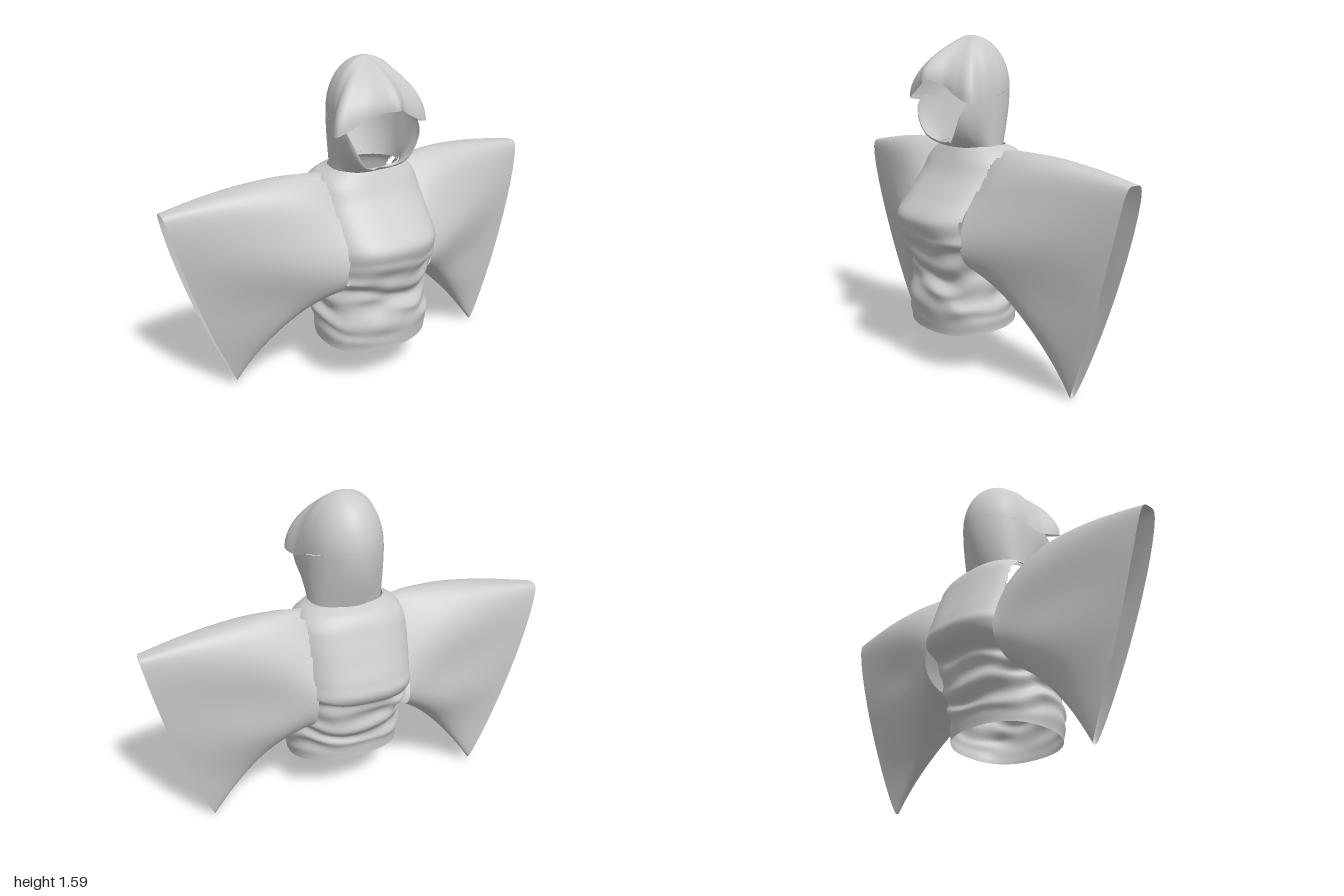
import * as THREE from 'three';

const material = new THREE.MeshStandardMaterial({ color: 0xcccccc, side: THREE.DoubleSide });
const { lerp, smoothstep } = THREE.MathUtils;

// Cloth tube: rows of closed loops, point(u, a) with u in 0..1 and a in 0..2PI;
// faces whose first corner lies in isHole are left out
function clothTube(name, rows, cols, point, isHole = () => false) {
  const pos = [], index = [];
  for (let i = 0; i <= rows; i++) {
    for (let j = 0; j < cols; j++) pos.push(...point(i / rows, (j / cols) * Math.PI * 2));
  }
  for (let i = 0; i < rows; i++) {
    for (let j = 0; j < cols; j++) {
      const k = (j + 1) % cols;
      const a = i * cols + j, b = i * cols + k, c = a + cols, d = b + cols;
      if (!isHole(pos[3 * a], pos[3 * a + 1])) index.push(a, b, d, a, d, c);
    }
  }
  const geometry = new THREE.BufferGeometry();
  geometry.setAttribute('position', new THREE.Float32BufferAttribute(pos, 3));
  geometry.setIndex(index);
  geometry.computeVertexNormals();
  const mesh = new THREE.Mesh(geometry, material);
  mesh.name = name;
  return mesh;
}

// Smooth lookup in a small table whose first column is the key
function sample(table, key) {
  let i = 0;
  while (i < table.length - 2 && key > table[i + 1][0]) i++;
  const p = table[i], q = table[i + 1];
  const t = THREE.MathUtils.clamp((key - p[0]) / (q[0] - p[0]), 0, 1);
  return p.map((v, n) => {
    const slope = (k) => {
      const lo = table[Math.max(k - 1, 0)], hi = table[Math.min(k + 1, table.length - 1)];
      return k === 0 || k === table.length - 1 ? 0 : (hi[n] - lo[n]) / (hi[0] - lo[0]);
    };
    const h = q[0] - p[0], t2 = t * t, t3 = t2 * t;
    return v * (2 * t3 - 3 * t2 + 1) + q[n] * (3 * t2 - 2 * t3)
      + h * (slope(i) * (t3 - 2 * t2 + t) + slope(i + 1) * (t3 - t2));
  });
}

// Torso: height, half width, front z, back z
const torsoRows = [
  [0.23, 0.285, 0.26, -0.17], [0.30, 0.295, 0.27, -0.175], [0.40, 0.29, 0.275, -0.19],
  [0.46, 0.285, 0.25, -0.215], [0.54, 0.305, 0.27, -0.225], [0.61, 0.305, 0.305, -0.25],
  [0.69, 0.30, 0.33, -0.335], [0.76, 0.295, 0.34, -0.325], [0.85, 0.29, 0.265, -0.29],
  [0.95, 0.28, 0.18, -0.25], [1.03, 0.26, 0.135, -0.215], [1.07, 0.22, 0.115, -0.18],
  [1.09, 0.18, 0.105, -0.14],
];

function torsoPoint(u, a) {
  const y = lerp(0.23, 1.09, u);
  const [, w, front, back] = sample(torsoRows, y);
  const c = Math.cos(a), s = Math.sin(a);
  // gathered folds round the waist
  const amount = smoothstep(y, 0.25, 0.36) * (1 - smoothstep(y, 0.6, 0.72));
  const wave = Math.sin(y * 58 + 1.6 * Math.sin(2 * a + 0.7) + 0.8 * Math.sin(5 * a))
    + 0.6 * Math.sin(y * 37 - 2 * Math.sin(3 * a + 1) + 2);
  const k = 1 + amount * 0.03 * wave;
  // squarer chest between the sleeves, rounder waist and neck
  const square = lerp(0.86, 0.72, smoothstep(y, 0.55, 0.72) * (1 - smoothstep(y, 1.0, 1.09)));
  const round = (v) => Math.sign(v) * Math.pow(Math.abs(v), square);
  const mid = (front + back) / 2, half = (front - back) / 2;
  const tilt = -0.03 * c * (1 - smoothstep(y, 0.23, 0.5));
  return [w * k * round(s), y + tilt + amount * 0.012 * Math.sin(3 * a + y * 20), mid + half * k * round(c)];
}

// Open armholes where the sleeves join
const isArmhole = (x, y) => Math.abs(x) > 0.245 && y > 0.58 && y < 1.04;

const bezier = (p, q, r, t) =>
  [0, 1].map((n) => (1 - t) ** 2 * p[n] + 2 * t * (1 - t) * q[n] + t * t * r[n]);

// Hanging sleeve: flat loops running from the armhole to the long cuff
function sleeve(name, side, tip, tipZ, backSwell) {
  return clothTube(name, 40, 72, (s, a) => {
    const top = bezier([0.2, 1.065], [0.45, 1.11], [1.0, 1.005], s);
    const low = bezier([0.25, 0.49], [0.47, 0.36], tip, s);
    const v0 = (1 - Math.cos(a)) / 2;
    const v = Math.pow(v0, Math.log(lerp(0.72, 0.4, s)) / Math.log(0.5));
    const bow = 4 * v * (1 - v) * 0.03 * s * s;
    const sin = Math.sin(a);
    const swell = Math.sin(Math.PI * s);
    const reach = sin > 0
      ? lerp(0.265, 0.065, s) + 0.045 * swell
      : lerp(0.235, 0.065, s) + backSwell * swell;
    const width = reach * Math.pow(Math.abs(sin), lerp(0.85, 0.55, s)) * (1 - 0.5 * v * s);
    const fold = 0.01 * swell * Math.sin(v * 11 + s * 5) * Math.abs(sin);
    const centre = lerp(-0.03, lerp(-0.085, tipZ, v), s);
    return [
      side * (lerp(top[0], low[0], v) + bow),
      lerp(top[1], low[1], v),
      centre + Math.sign(sin) * width + fold,
    ];
  });
}

// Hood rims: angle from the front in degrees, radius, height
const brimEdge = [
  [0, 0.28, 1.40], [10, 0.25, 1.393], [24, 0.23, 1.37], [42, 0.26, 1.325], [55, 0.3, 1.295],
  [68, 0.235, 1.285], [90, 0.19, 1.32], [135, 0.185, 1.35], [180, 0.2, 1.35],
];
const faceEdge = [
  [0, 0.13, 1.10], [20, 0.165, 1.105], [34, 0.225, 1.15], [44, 0.26, 1.25],
  [55, 0.24, 1.31], [68, 0.215, 1.305], [90, 0.19, 1.32], [135, 0.185, 1.35], [180, 0.2, 1.35],
];
const degrees = (a) => THREE.MathUtils.radToDeg(a > Math.PI ? 2 * Math.PI - a : a);

// Crown with a brim that flares out near its rim and leans to one side
function crownPoint(u, a) {
  const d = degrees(a);
  const [, r, y] = sample(brimEdge, d);
  const t = (1 - u) * Math.PI / 2, sin = Math.sin(t);
  const core = lerp(0.225, r, smoothstep(d, 60, 100));
  const power = lerp(1.7, 1, smoothstep(d, 15, 90));
  const radius = core * Math.pow(sin, power) + (r - core) * sin ** 3;
  const lean = -0.02 * sin ** 3 * (1 - smoothstep(d, 40, 90)) * smoothstep(d, 0, 40);
  return [radius * Math.sin(a) + lean, y + (1.6 - y) * Math.cos(t), radius * Math.cos(a)];
}

// Lower hood, from the neck up to the face opening and the crown
function cowlPoint(u, a) {
  const [, r, y] = sample(faceEdge, degrees(a));
  const c = Math.cos(a), s = Math.sin(a);
  const neckX = 0.18 * s, neckZ = c > 0 ? 0.105 * c : 0.14 * c;
  const ease = Math.sin(u * Math.PI / 2);
  return [lerp(neckX, r * s, ease), lerp(1.075, y, u), lerp(neckZ, r * c, ease)];
}

export function createModel() {
  const model = new THREE.Group();
  model.name = 'hoodedTop';
  model.add(clothTube('torso', 90, 128, torsoPoint, isArmhole));
  model.add(sleeve('leftSleeve', 1, [0.715, 0.01], -0.03, 0.01));
  model.add(sleeve('rightSleeve', -1, [0.675, 0.035], -0.125, 0.035));

  const hood = new THREE.Group();
  hood.name = 'hood';
  hood.add(clothTube('crown', 28, 96, crownPoint));
  hood.add(clothTube('cowl', 20, 96, cowlPoint));
  model.add(hood);
  return model;
}
